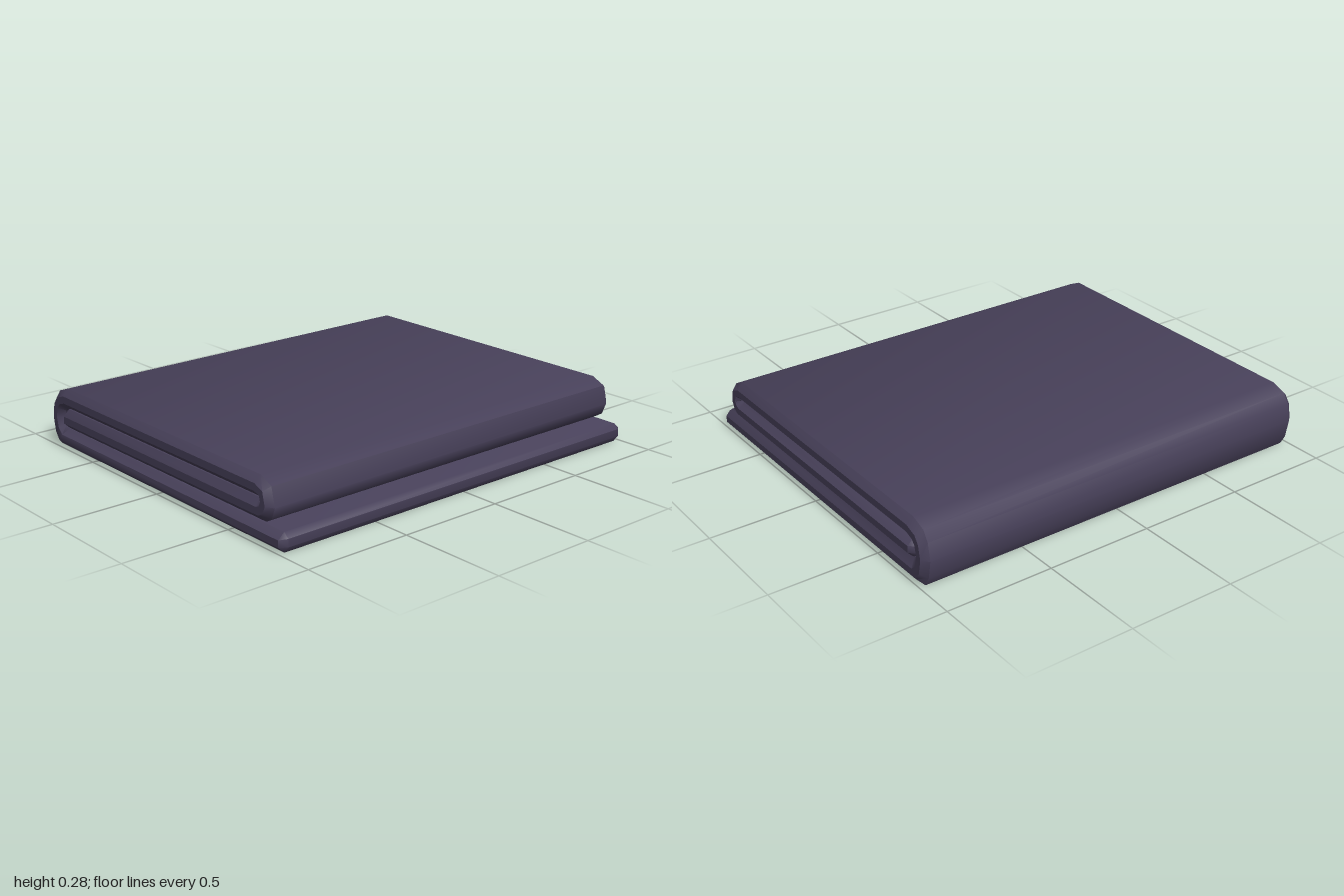
import * as THREE from 'three';
import { toCreasedNormals } from 'three/addons/utils/BufferGeometryUtils.js';

// Stations along the folded cloth: [outerX, outerY, innerX, innerY]
const PATH = [
  [0.845, 0.03, 0.845, 0.065],    // free end, bottom layer
  [0.82, 0, 0.82, 0.086],
  [-0.805, 0, -0.73, 0.091],      // left fold
  [-0.83, 0.045, -0.755, 0.105],
  [-0.845, 0.13, -0.765, 0.14],
  [-0.83, 0.21, -0.757, 0.17],
  [-0.80, 0.255, -0.745, 0.18],
  [-0.73, 0.28, -0.72, 0.188],
  [0.68, 0.28, 0.67, 0.188],      // right fold
  [0.745, 0.25, 0.685, 0.188],
  [0.765, 0.165, 0.687, 0.186],
  [0.745, 0.115, 0.68, 0.184],
  [0.71, 0.093, 0.67, 0.183],
  [-0.73, 0.093, -0.73, 0.183],   // tucked end, middle layer
  [-0.757, 0.122, -0.757, 0.155],
];
const HALF = 1, BEVEL = 0.03, INSET = 0.32;

// Eight-point section with chamfered front and back rims
function section([ox, oy, ix, iy], isEnd) {
  const t = isEnd ? 0 : INSET;
  const rim = isEnd ? HALF - BEVEL : HALF;
  const z = HALF - BEVEL;
  const mix = (a, b) => a + (b - a) * t;
  const front = [
    [ox, oy, z],
    [mix(ox, ix), mix(oy, iy), rim],
    [mix(ix, ox), mix(iy, oy), rim],
    [ix, iy, z],
  ];
  const back = front.map(([x, y, d]) => [x, y, -d]).reverse();
  return [...front, ...back];
}

function foldedGeometry() {
  const last = PATH.length - 1;
  const rings = PATH.map((p, i) => section(p, i === 0 || i === last));
  const pos = [];
  const quad = (a, b, c, d) => pos.push(...a, ...b, ...c, ...a, ...c, ...d);
  for (let s = 0; s < last; s++) {
    for (let k = 0; k < 8; k++) {
      const n = (k + 1) % 8;
      quad(rings[s][k], rings[s][n], rings[s + 1][n], rings[s + 1][k]);
    }
  }
  // Flat ends of the cloth
  const a = rings[0], b = rings[last];
  quad(a[7], a[4], a[3], a[0]);
  quad(b[0], b[3], b[4], b[7]);
  const geo = new THREE.BufferGeometry();
  geo.setAttribute('position', new THREE.Float32BufferAttribute(pos, 3));
  return toCreasedNormals(geo, 0.7);
}

export function createModel() {
  const group = new THREE.Group();
  group.name = 'foldedTowel';
  const cloth = new THREE.MeshStandardMaterial({ color: 0x474059 });
  cloth.name = 'dusky purple cloth';
  const mesh = new THREE.Mesh(foldedGeometry(), cloth);
  mesh.name = 'foldedCloth';
  group.add(mesh);
  return group;
}
